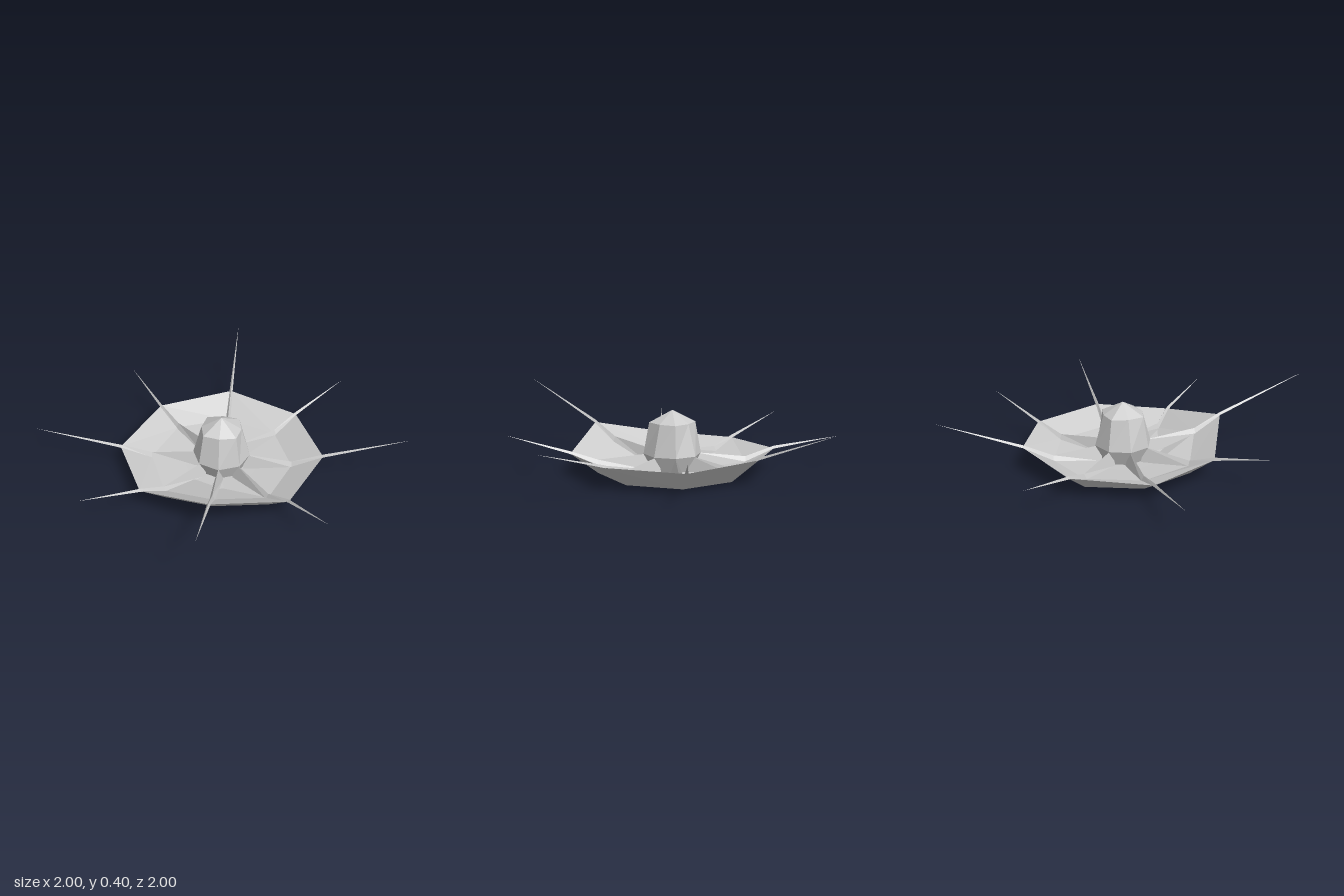
import * as THREE from 'three';

const material = new THREE.MeshStandardMaterial({ color: 0xcccccc, flatShading: true, side: THREE.DoubleSide });

// Joins equal-length rings of [x, y, z] points into a flat-faceted skin.
function loft(name, rings) {
  const pos = [];
  for (let r = 0; r < rings.length - 1; r++) {
    const a = rings[r], b = rings[r + 1], n = a.length;
    for (let i = 0; i < n; i++) {
      const j = (i + 1) % n;
      pos.push(...a[i], ...a[j], ...b[j], ...a[i], ...b[j], ...b[i]);
    }
  }
  const geometry = new THREE.BufferGeometry();
  geometry.setAttribute('position', new THREE.Float32BufferAttribute(pos, 3));
  geometry.computeVertexNormals();
  const mesh = new THREE.Mesh(geometry, material);
  mesh.name = name;
  return mesh;
}

const CX = 0.008, CZ = -0.03;

// Octagon with corners on the spoke directions, starting at +z and turning towards +x.
// The diagonal corners may have a radius of their own.
const octagon = (radius, y, diagonal = radius) => Array.from({ length: 8 }, (_, i) => {
  const a = (i * Math.PI) / 4, r = i % 2 ? diagonal : radius;
  return [CX + r * Math.sin(a), y, CZ + r * Math.cos(a)];
});

// Corners of the uneven dish, in the same order as the octagon.
const rim = [
  [0.005, 0.2, 0.515], [0.39, 0.11, 0.345], [0.55, 0.12, -0.03], [0.385, 0.115, -0.41],
  [0.005, 0.135, -0.57], [-0.38, 0.11, -0.415], [-0.54, 0.095, -0.03], [-0.37, 0.11, 0.345],
];
const underside = [
  [0.005, 0.065, 0.37], [0.28, 0, 0.25], [0.385, 0, -0.03], [0.275, 0, -0.305],
  [0.005, 0, -0.41], [-0.265, 0, -0.31], [-0.37, 0, -0.03], [-0.26, 0, 0.25],
];
const inside = underside.map(([x, y, z]) => [x, y + 0.045, z]);
const tips = [
  [0.005, 0.4, 1], [0.59, 0.205, 0.605], [1, 0.265, -0.03], [0.635, 0.235, -0.605],
  [0.005, 0.312, -1], [-0.585, 0.175, -0.675], [-1, 0.18, -0.03], [-0.635, 0.195, 0.555],
];

// Triangular rib section: a flat base across the spoke and a ridge above it.
function ribSection([x, y, z], side, halfWidth, height) {
  const sx = side[0] * halfWidth, sz = side[1] * halfWidth;
  return [[x - sx, y, z - sz], [x + sx, y, z + sz], [x, y + height, z]];
}

function spoke(i) {
  const tip = tips[i], root = octagon(0.12, 0.015)[i];
  const dx = rim[i][0] - CX, dz = rim[i][2] - CZ, len = Math.hypot(dx, dz);
  const side = [dz / len, -dx / len];
  return loft('spoke', [
    ribSection(root, side, 0.022, 0.085),
    ribSection(inside[i], side, 0.014, 0.027),
    ribSection(rim[i], side, 0.009, 0.014),
    [tip, tip, tip],
  ]);
}

export function createModel() {
  const model = new THREE.Group();

  // Octagonal dish with one raised front corner: flat underside, bowl-shaped inside
  model.add(loft('dish', [
    octagon(0, 0.006), octagon(0.2, 0.025), inside, rim, underside, octagon(0, 0),
  ]));

  // Tapered hub with a pointed cap
  model.add(loft('hub', [
    octagon(0, 0.004), octagon(0.11, 0.004), octagon(0.152, 0.1),
    octagon(0.106, 0.266, 0.122), octagon(0, 0.33),
  ]));

  // Eight ribs that run from the hub over the rim into long spikes
  const spokes = new THREE.Group();
  spokes.name = 'spokes';
  for (let i = 0; i < 8; i++) spokes.add(spoke(i));
  model.add(spokes);

  return model;
}
